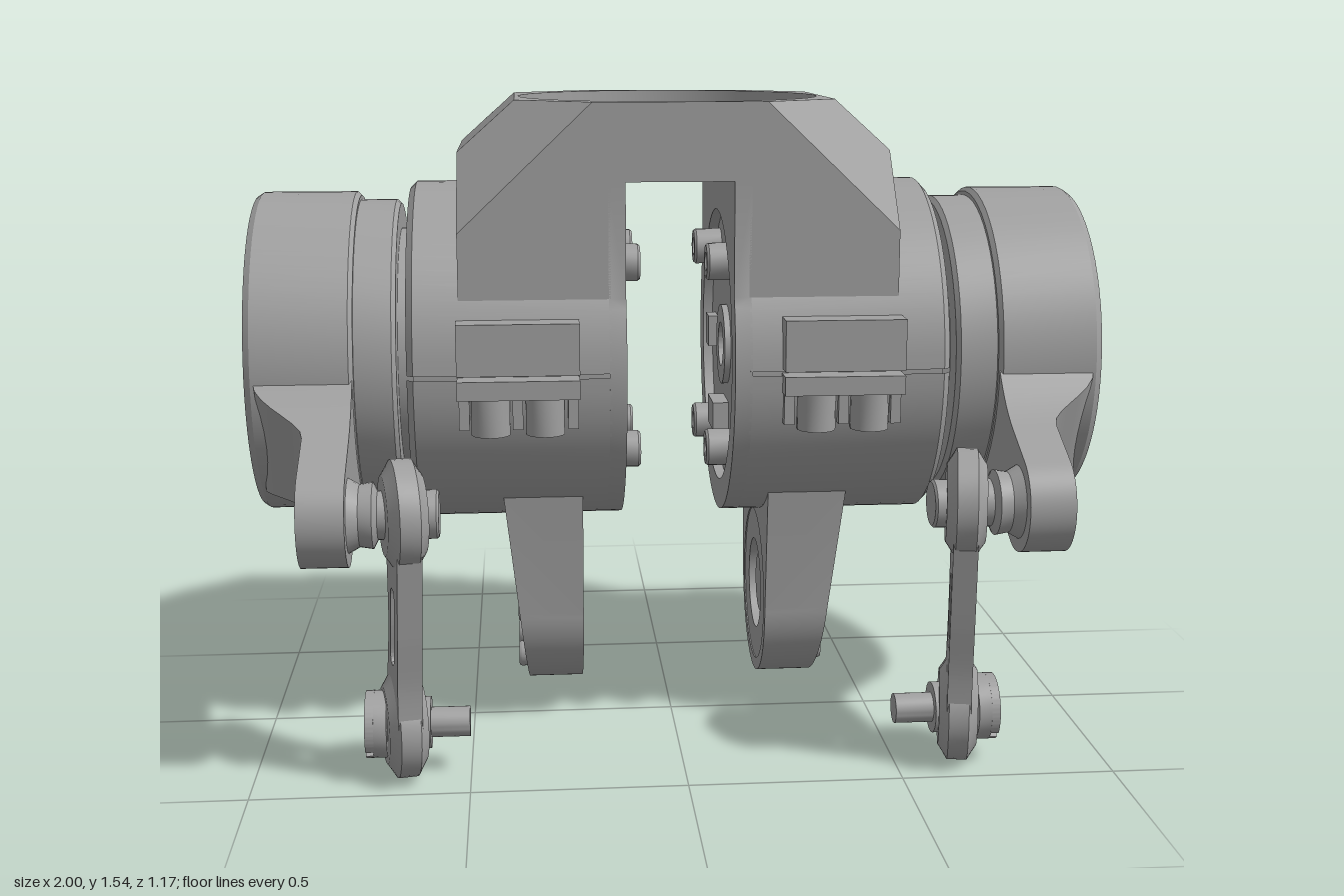
import * as THREE from 'three';
import { toCreasedNormals } from 'three/addons/utils/BufferGeometryUtils.js';

const CY = 0.93, CZ = -0.11; // main axis
const PI = Math.PI;

// Turned part about an x-directed axis; points are [radius, x]
function turned(points, y = CY, z = CZ, seg = 56, start = 0, length = 2 * PI) {
  const g = new THREE.LatheGeometry(points.map(p => new THREE.Vector2(p[0], p[1])), seg, start, length);
  return g.rotateZ(-PI / 2).translate(0, y, z);
}

// Plate cut from a (-z, y) outline, running from x0 to x1
function plate(shape, x0, x1, y = 0, z = 0) {
  return new THREE.ExtrudeGeometry(shape, { depth: x1 - x0, bevelEnabled: false, curveSegments: 32 })
    .rotateY(PI / 2).translate(x0, y, z);
}

function box(x0, x1, y0, y1, z0, z1) {
  return new THREE.BoxGeometry(x1 - x0, y1 - y0, z1 - z0).translate((x0 + x1) / 2, (y0 + y1) / 2, (z0 + z1) / 2);
}

function circle(r, x = 0, y = 0, C = THREE.Path) {
  return new C().absarc(x, y, r, 0, 2 * PI, false);
}

// Skin between equal-length loops of [x, y, z]
function loft(loops, skip = () => false) {
  const pos = [], n = loops[0].length;
  for (let i = 0; i < loops.length - 1; i++) for (let j = 0; j < n; j++) {
    if (skip(i, j)) continue;
    const k = (j + 1) % n, a = loops[i][j], b = loops[i][k], c = loops[i + 1][k], d = loops[i + 1][j];
    pos.push(...a, ...b, ...c, ...a, ...c, ...d);
  }
  return new THREE.BufferGeometry().setAttribute('position', new THREE.Float32BufferAttribute(pos, 3));
}

// Mirror across x = 0 and restore the corner order
function mirrored(geo) {
  const g = geo.clone();
  for (const name of ['position', 'normal']) {
    const a = g.attributes[name].array;
    for (let i = 0; i < a.length; i += 9) {
      for (let k = 0; k < 3; k++) [a[i + 3 + k], a[i + 6 + k]] = [a[i + 6 + k], a[i + 3 + k]];
      for (let k = 0; k < 9; k += 3) a[i + k] *= -1;
    }
  }
  return g;
}

// Socket head screw; dir gives the way the head faces along x
function screw(r, x, h, y, z, dir = 1) {
  const p = [[r, 0], [r, h - 0.006], [r * 0.9, h], [r * 0.5, h], [r * 0.5, h - 0.025], [0, h - 0.025]];
  const g = turned(p, 0, 0, 18);
  if (dir < 0) g.rotateY(PI);
  return g.translate(x, y, z);
}

export function createModel() {
  const root = new THREE.Group();
  root.name = 'hipJoint';
  const metal = new THREE.MeshStandardMaterial({ color: 0xa0a0a0 });
  metal.name = 'grey metal';

  const sides = [new THREE.Group(), new THREE.Group()];
  sides[0].name = 'leftHip';
  sides[1].name = 'rightHip';
  root.add(...sides);
  function mesh(parent, name, geo) {
    const m = new THREE.Mesh(geo, metal);
    m.name = name;
    parent.add(m);
  }
  const single = (name, geo) => mesh(root, name, toCreasedNormals(geo, 0.5));
  const pair = (name, geo) => {
    const g = toCreasedNormals(geo, 0.5);
    mesh(sides[0], name, g);
    mesh(sides[1], name, mirrored(g));
  };

  // Bridge: chamfered block whose corners are cut by an oblique plane
  const H = 0.377, R = 0.365;
  const edge = y => {
    const X = 0.51 - Math.max(0, y - 1.43) * 1.125;
    return { X, zc: Math.min(H, (2.192 - y - 0.95 * X) / 1.2), xc: Math.min(X, (2.192 - y - 1.2 * H) / 0.95) };
  };
  const octagon = y => {
    const { X, zc, xc } = edge(y);
    return [[X, zc], [X, -zc], [xc, -H], [-xc, -H], [-X, -zc], [-X, zc], [-xc, H], [xc, H]];
  };
  single('bridgeSides', loft([1.37, 1.43, 1.55].map(y => octagon(y).map(([x, z]) => [x, y, z + CZ])),
    (i, j) => i === 1 && j % 4 === 0));
  for (const [name, y, turn] of [['bridgeTop', 1.55, -1], ['bridgeUnderside', 1.37, 1]]) {
    const s = new THREE.Shape(octagon(y).map(p => new THREE.Vector2(...p)));
    s.holes.push(circle(R));
    single(name, new THREE.ShapeGeometry(s, 32).rotateX(turn * PI / 2).translate(0, y, CZ));
  }
  single('pocketWall', new THREE.LatheGeometry([new THREE.Vector2(R, 1.55), new THREE.Vector2(R, 1.43)], 64).translate(0, 0, CZ));
  const floor = circle(R, 0, 0, THREE.Shape);
  for (let i = 0; i < 8; i++) floor.holes.push(circle(0.023, 0.312 * Math.cos(i * PI / 4), 0.312 * Math.sin(i * PI / 4)));
  single('pocketFloor', new THREE.ExtrudeGeometry(floor, { depth: 0.06, bevelEnabled: false, curveSegments: 32 })
    .rotateX(-PI / 2).translate(0, 1.37, CZ));

  // Sloping shoulder plates with three round recesses
  const z1 = edge(1.43).zc, z2 = edge(1.55).zc;
  const trapezoid = () => new THREE.Shape([[-z1, 0], [z1, 0], [z2, 0.1806], [-z2, 0.1806]].map(p => new THREE.Vector2(...p)));
  const place = g => g.rotateY(PI / 2).rotateZ(Math.atan2(0.135, 0.12)).translate(0.51, 1.43, CZ);
  const shoulder = trapezoid();
  for (const s of [-0.19, 0, 0.19]) shoulder.holes.push(new THREE.Path().absellipse(s, 0.09, 0.053, 0.068, 0, 2 * PI));
  pair('shoulderPlate', place(new THREE.ExtrudeGeometry(shoulder, { depth: 0.02, bevelEnabled: false, curveSegments: 16 }).translate(0, 0, -0.02)));
  pair('shoulderRecessFloor', place(new THREE.ShapeGeometry(trapezoid()).translate(0, 0, -0.02)));

  // Bridge legs running down into the housings
  pair('bridgeLeg', loft([1.0, 1.255, 1.37].map(y => {
    const { X, zc, xc } = edge(y);
    return [[0.16, H], [xc, H], [X, zc], [X, -zc], [xc, -H], [0.16, -H]].map(([x, z]) => [x, y, z + CZ]);
  })));
  const a = Math.acos(H / 0.415);
  const wall = new THREE.Shape();
  wall.moveTo(H, 0.44);
  wall.lineTo(-H, 0.44);
  wall.absarc(0, 0, 0.415, PI - a, 2 * PI + a, false);
  wall.holes.push(circle(0.34));
  pair('innerWall', plate(wall, 0.125, 0.165, CY, CZ));

  // Split clamp housing
  const shell = [[0.395, 0.16], [0.415, 0.16], [0.415, 0.615], [0.4, 0.63], [0.28, 0.63]];
  pair('housingLower', turned(shell, CY, CZ, 36, 0.012, PI - 0.024));
  pair('housingUpper', turned(shell, CY, CZ, 36, PI + 0.012, PI - 0.024));
  pair('housingCore', turned([[0.4, 0.16], [0.4, 0.615], [0.28, 0.615]]));
  for (const [s, reach] of [[1, 0.46], [-1, 0.47]]) {
    const ear = (x0, x1, y0, y1, r) => box(x0, x1, y0, y1, CZ + (s > 0 ? 0.3 : -r), CZ + (s > 0 ? r : -0.3));
    pair('clampEarUpper', ear(0.235, 0.515, 0.941, 1.06, reach));
    pair('clampEarLower', ear(0.235, 0.515, 0.885, 0.929, reach));
    for (const x of [0.315, 0.44]) {
      pair('clampScrew', new THREE.CylinderGeometry(0.045, 0.045, 0.09, 18).translate(x, 0.842, CZ + s * 0.41));
    }
    for (const x of [0.25, 0.3775, 0.5]) pair('clampRib', ear(x - 0.012, x + 0.012, 0.81, 0.89, 0.425));
  }

  // Motor back seen in the gap
  pair('motorBack', turned([[0.055, 0.135], [0.1, 0.135], [0.1, 0.15], [0.345, 0.15]]));
  for (const [y, z] of [[0.23, 0.16], [0.23, -0.16], [-0.23, 0.16], [-0.23, -0.16]]) {
    pair('motorScrew', screw(0.045, 0.15, 0.07, CY + y, CZ + z, -1));
  }
  pair('connector', box(0.11, 0.15, 0.72, 0.79, CZ - 0.06, CZ + 0.06));
  pair('sideConnector', box(0.125, 0.15, 0.89, 0.97, CZ - 0.27, CZ - 0.2));

  // Bearing, neck and output drum with its bore
  pair('neck', turned([[0.3, 0.6], [0.3, 0.66]]));
  pair('bearingRing', turned([[0.28, 0.655], [0.36, 0.655], [0.37, 0.665], [0.37, 0.755]]));
  pair('drum', turned([[0.3, 0.752], [0.38, 0.752], [0.39, 0.762], [0.39, 0.985], [0.38, 1], [0.38, 0.965],
    [0.13, 0.965], [0.13, 0.8], [0.085, 0.8], [0.055, 0.77], [0.055, 0.135]]));
  const face = circle(0.38, 0, 0, THREE.Shape);
  face.holes.push(circle(0.13));
  for (let i = 0; i < 8; i++) {
    const t = (63.5 + i * 45) * PI / 180, y = 0.312 * Math.sin(t), z = 0.312 * Math.cos(t);
    face.holes.push(circle(0.05, -z, y));
    pair('drumScrew', screw(0.04, 0.962, 0.032, CY + y, CZ + z));
  }
  pair('drumFace', plate(face, 0.965, 1, CY, CZ));

  // Crank arm: thick at the drum, thinning to a round end
  const PY = 0.655, PZ = 0.465, L = Math.hypot(PZ - CZ, PY - CY);
  const uy = (PY - CY) / L, uz = (PZ - CZ) / L, r = 0.115, loops = [];
  for (let i = 0; i <= 32; i++) {
    const u = i < 16 ? 0.28 + (L - 0.28) * i / 16 : L + r * Math.sin((i - 16) / 16 * PI / 2);
    const h = u > L ? Math.sqrt(Math.max(0, r * r - (u - L) ** 2)) : r + 0.06 * (Math.max(0, 0.52 - u) / 0.2) ** 2;
    const xo = 0.86 + 0.12 * (1 - THREE.MathUtils.smoothstep(u, 0.35, 0.5));
    loops.push([[0.755, -h], [xo, -h], [xo, h], [0.755, h]].map(([x, v]) => [x, CY + u * uy + v * uz, CZ + u * uz - v * uy]));
  }
  pair('crankArm', loft(loops));
  pair('crankPinEnd', turned([[0.035, 0.85], [0.035, 0.864], [0, 0.864]], PY, PZ, 20));

  // Lower leg with bearing ring, screws and shaft
  const LY = 0.3;
  const leg = new THREE.Shape();
  leg.moveTo(-0.27, 0.4);
  leg.lineTo(-0.225, 0);
  leg.absarc(0, 0, 0.225, PI, 2 * PI, false);
  leg.lineTo(0.27, 0.4);
  leg.holes.push(circle(0.195));
  const legGeo = plate(leg, 0.225, 0.36, LY, CZ), lp = legGeo.attributes.position;
  for (let i = 0; i < lp.count; i++) if (lp.getX(i) > 0.3) lp.setX(i, 0.36 + (lp.getY(i) - 0.1) * 0.11);
  pair('leg', legGeo);
  pair('legBearing', turned([[0.115, 0.228], [0.198, 0.228], [0.198, 0.345], [0.115, 0.345], [0.115, 0.228]], LY, CZ, 40));
  pair('legShaft', turned([[0, 0.24], [0.075, 0.24], [0.075, 0.33], [0.05, 0.33], [0.045, 0.36], [0, 0.36]], LY, CZ, 28));
  for (let i = 0; i < 6; i++) {
    pair('legScrew', screw(0.032, 0.345, 0.04, LY + 0.17 * Math.sin(i * PI / 3), CZ + 0.17 * Math.cos(i * PI / 3)));
  }

  // Curved link rod, slotted and slightly twisted about the vertical
  const BY = 0.13, BZ = 0.375;
  const tilt = g => g.translate(-0.645, 0, -0.42).rotateY(-0.2).translate(0.645, 0, 0.42);
  const spine = [[0.465, 0.64, 0.1], [0.458, 0.5, 0.083], [0.445, 0.38, 0.075], [0.41, 0.25, 0.085], [0.378, 0.14, 0.11]];
  const side = (s, list) => list.map(([z, y, w]) => new THREE.Vector2(-z + s * w, y));
  const band = (list, C) => {
    const p = new C(), left = side(-1, list), right = side(1, list).reverse();
    p.moveTo(left[0].x, left[0].y);
    p.splineThru(left.slice(1));
    p.lineTo(right[0].x, right[0].y);
    p.splineThru(right.slice(1));
    return p;
  };
  const link = band(spine, THREE.Shape);
  link.holes.push(band([[0.455, 0.48, 0.015], [0.452, 0.46, 0.028], [0.437, 0.38, 0.028], [0.42, 0.31, 0.028], [0.413, 0.29, 0.015]], THREE.Path));
  pair('linkRod', tilt(plate(link, 0.617, 0.673)));
  for (const [y, z] of [[PY, PZ], [BY, BZ]]) {
    pair('linkEye', tilt(turned([[0, 0.6], [0.09, 0.6], [0.105, 0.61], [0.125, 0.622], [0.125, 0.668], [0.105, 0.68], [0.09, 0.69], [0, 0.69]], y, z, 40)));
  }

  // Upper pivot pin and lower slotted bolt
  pair('upperPin', turned([[0, 0.555], [0.05, 0.555], [0.055, 0.56], [0.055, 0.69], [0.075, 0.7], [0.07, 0.73], [0.09, 0.765]], PY, PZ, 28));
  pair('lowerBolt', turned([[0, 0.5], [0.035, 0.5], [0.035, 0.59], [0.06, 0.59], [0.06, 0.69], [0.078, 0.69], [0.078, 0.722], [0, 0.722]], BY, BZ, 28));
  for (const k of [0, PI]) {
    const t = 0.75 + k;
    pair('boltHeadHalf', plate(new THREE.Shape().absarc(0, 0, 0.078, t + 0.12, t + PI - 0.12, false), 0.72, 0.74, BY, BZ));
  }
  return root;
}
